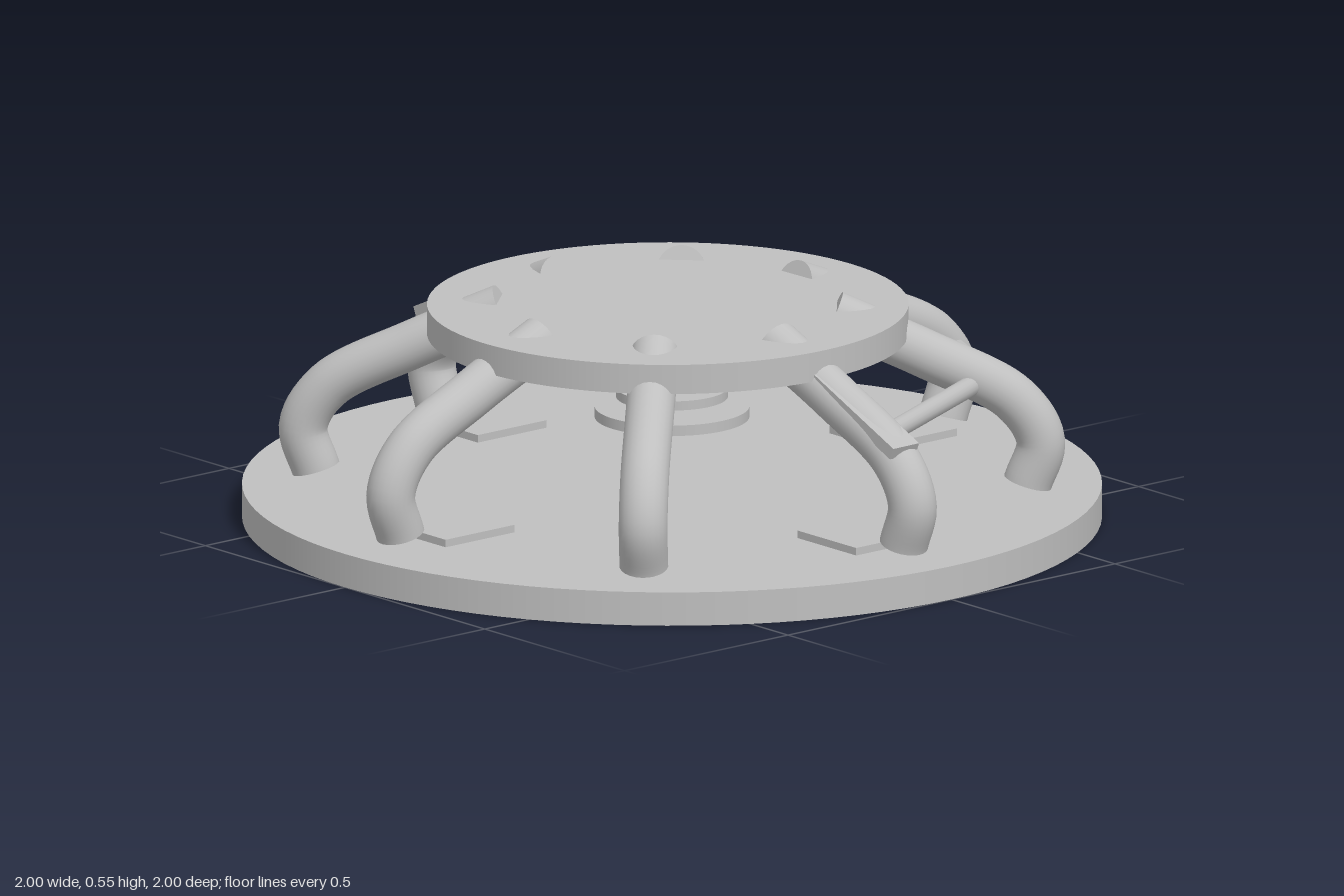
import * as THREE from 'three';

export function createModel() {
  const model = new THREE.Group();
  model.name = 'spiderStand';
  const grey = new THREE.MeshStandardMaterial({ color: 0xbfbfbf });
  grey.name = 'plain grey';

  const add = (name, geometry, x = 0, y = 0, z = 0) => {
    const mesh = new THREE.Mesh(geometry, grey);
    mesh.name = name;
    mesh.position.set(x, y, z);
    model.add(mesh);
    return mesh;
  };
  const disc = (name, radius, y0, y1, x = 0, z = 0) =>
    add(name, new THREE.CylinderGeometry(radius, radius, y1 - y0, 96), x, (y0 + y1) / 2, z);

  // Round base and slightly offset top plate
  const topX = 0.02, topZ = 0.03;
  disc('base', 1, 0, 0.08);
  disc('topPlate', 0.56, 0.45, 0.52, topX, topZ);

  // Stepped discs hung below the top plate
  disc('lowerHangingDisc', 0.18, 0.24, 0.265);
  disc('upperHangingDisc', 0.13, 0.288, 0.31);
  disc('hangingStem', 0.025, 0.25, 0.46);

  // Eight bent arms: [radius, height] along each, drifting towards the top plate centre
  const profile = [[0.83, 0.1], [0.86, 0.2], [0.8, 0.3], [0.6, 0.405], [0.385, 0.5]];
  const armRadius = 0.057;
  for (let i = 0; i < 8; i++) {
    const a = (i * Math.PI) / 4;
    const points = profile.map(([r, y]) => {
      const drift = (0.86 - r) / 0.475;
      return new THREE.Vector3(
        Math.sin(a) * r + topX * 0.8 * drift, y, Math.cos(a) * r + topZ * 0.85 * drift);
    });
    const curve = new THREE.CatmullRomCurve3(points);
    add('arm' + (i + 1), new THREE.TubeGeometry(curve, 40, armRadius, 24));
    // End caps
    for (const t of [0, 1]) {
      const p = curve.getPointAt(t);
      const out = curve.getTangentAt(t).multiplyScalar(t ? 1 : -1);
      const cap = add('armEnd', new THREE.CircleGeometry(armRadius, 24), p.x, p.y, p.z);
      cap.quaternion.setFromUnitVectors(new THREE.Vector3(0, 0, 1), out);
    }
  }

  // Flat strips lying on the two side arms
  for (const side of [-1, 1]) {
    const strip = add('armStrip', new THREE.BoxGeometry(0.36, 0.03, 0.08),
      side * 0.685, 0.402, side < 0 ? 0.03 : 0.018);
    strip.rotation.set(0, side < 0 ? -0.07 : 0.02, -side * 0.42);
  }

  // Square floor pads at the four main arms
  for (const [x, z] of [[0, 1], [0, -1], [1, 0], [-1, 0]]) {
    add('floorPad', new THREE.BoxGeometry(0.21, 0.02, 0.21), x * 0.677, 0.088, z * 0.677);
  }

  // Thin struts joining the rear arms
  const struts = [
    [[0.02, 0.27, -0.84], [0.59, 0.26, -0.61]],
    [[-0.02, 0.34, -0.69], [-0.52, 0.35, -0.51]],
    [[-0.57, 0.3, -0.55], [-0.82, 0.3, 0]],
    [[0.53, 0.34, -0.46], [0.75, 0.34, 0]],
  ];
  for (const [from, to] of struts) {
    const line = new THREE.LineCurve3(new THREE.Vector3(...from), new THREE.Vector3(...to));
    add('strut', new THREE.TubeGeometry(line, 1, 0.024, 16));
  }

  return model;
}
